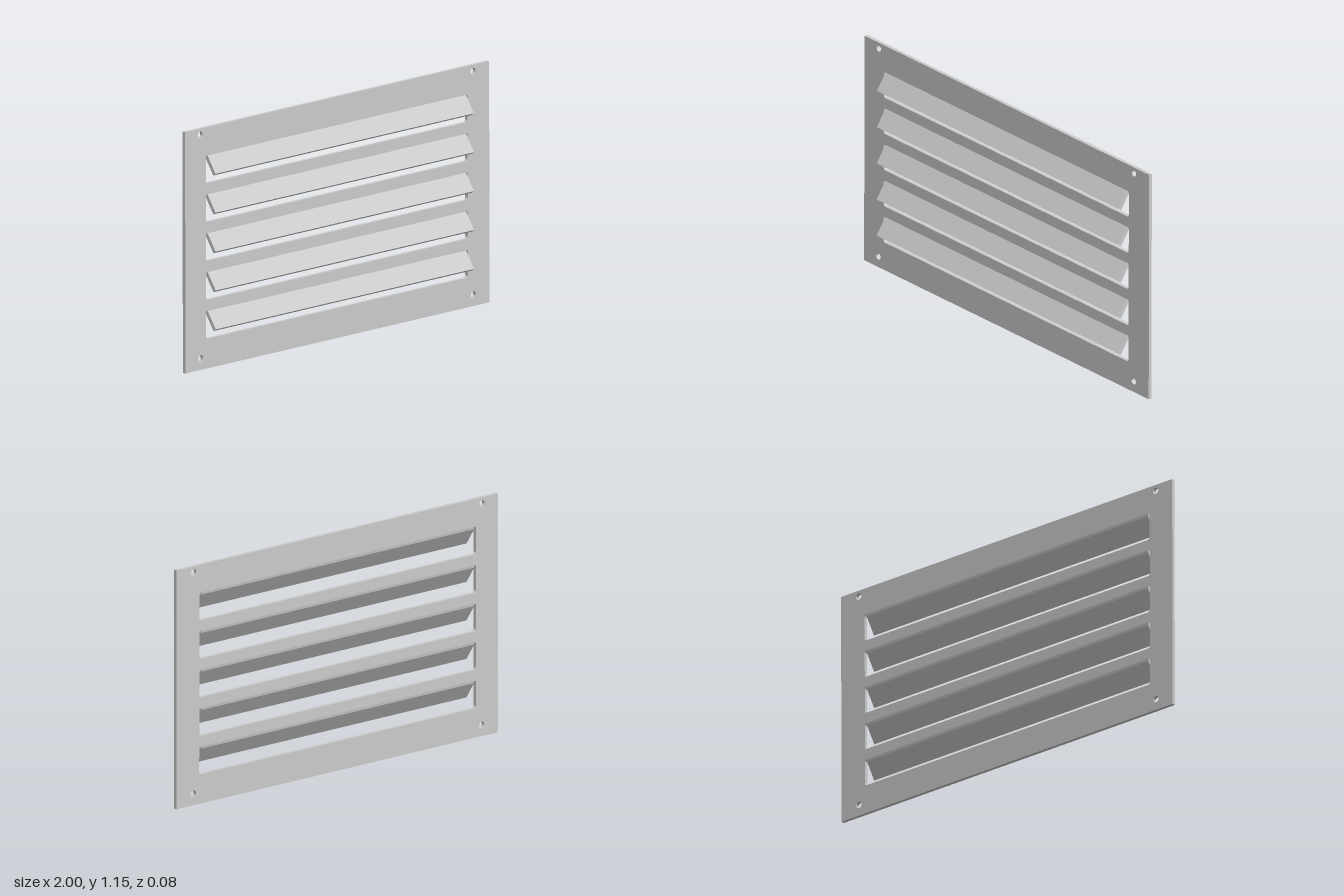
import * as THREE from 'three';

const HEIGHT = 1.145, THICK = 0.017, BACK = -0.035, MID = HEIGHT / 2;
const SLOTS = 5, PITCH = 0.1845, SLOT_BOTTOM = 0.141, SLOT_HEIGHT = 0.133;
const OFFSET = -0.003; // slots, slats and holes sit slightly off centre

// Rounded rectangle outline for a slot
function slotPath(x0, y0, x1, y1, r) {
  const p = new THREE.Path();
  p.absarc(x1 - r, y1 - r, r, 0, Math.PI / 2);
  p.absarc(x0 + r, y1 - r, r, Math.PI / 2, Math.PI);
  p.absarc(x0 + r, y0 + r, r, Math.PI, Math.PI * 1.5);
  p.absarc(x1 - r, y0 + r, r, Math.PI * 1.5, Math.PI * 2);
  p.closePath();
  return p;
}

export function createModel() {
  const model = new THREE.Group();
  model.name = 'louvreVent';
  const material = new THREE.MeshStandardMaterial({ color: 0xcccccc });

  // Everything hangs from a pivot at mid height, which carries a very slight tilt
  const grille = new THREE.Group();
  grille.name = 'grille';
  grille.position.y = MID;
  grille.rotation.set(-0.002, -0.003, 0);
  model.add(grille);

  // Flat plate with slots and screw holes
  const face = new THREE.Shape([
    new THREE.Vector2(-1, -MID), new THREE.Vector2(1, -MID),
    new THREE.Vector2(1, MID), new THREE.Vector2(-1, MID),
  ]);
  for (let i = 0; i < SLOTS; i++) {
    const y = SLOT_BOTTOM + i * PITCH - MID;
    face.holes.push(slotPath(OFFSET - 0.861, y, OFFSET + 0.861, y + SLOT_HEIGHT, 0.013));
  }
  for (const x of [-0.897, 0.897]) {
    for (const y of [0.054, 1.115]) {
      face.holes.push(new THREE.Path().absarc(x + OFFSET, y - MID, 0.016, 0, Math.PI * 2));
    }
  }
  const plate = new THREE.Mesh(
    new THREE.ExtrudeGeometry(face, { depth: THICK, bevelEnabled: false, curveSegments: 12 }), material);
  plate.name = 'plate';
  plate.position.z = BACK;
  grille.add(plate);

  // Slanted slat: side profile (z, y from the slot top) extruded along x
  const front = BACK + THICK;
  const profile = new THREE.Shape([
    [front, 0], [BACK, 0], [BACK + 0.002, -0.012], [0.019, -0.091], [0.034, -0.081], [front, -0.002],
  ].map(([z, y]) => new THREE.Vector2(-z, y)));
  const slatGeometry = new THREE.ExtrudeGeometry(profile, { depth: 1.7, bevelEnabled: false });
  slatGeometry.translate(0, 0, -0.85).rotateY(Math.PI / 2);
  for (let i = 0; i < SLOTS; i++) {
    const slat = new THREE.Mesh(slatGeometry, material);
    slat.name = `slat${i + 1}`;
    slat.position.set(OFFSET, SLOT_BOTTOM + i * PITCH + SLOT_HEIGHT - MID, 0);
    grille.add(slat);
  }
  return model;
}
